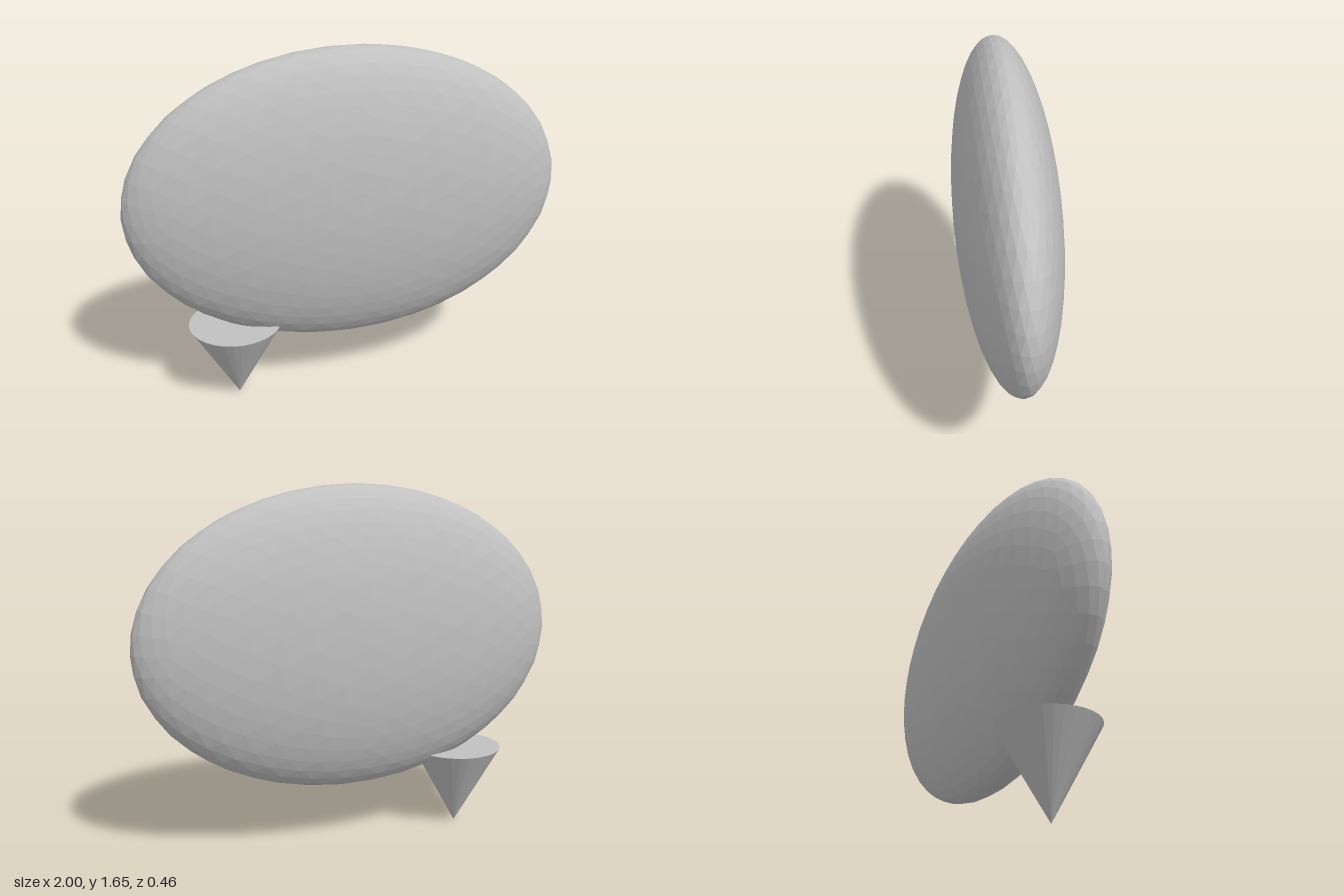
import * as THREE from 'three';

export function createModel() {
  const group = new THREE.Group();
  const grey = new THREE.MeshStandardMaterial({ color: 0xc0c0c0, flatShading: true });
  grey.name = 'light grey';

  // Flattened faceted ellipsoid body
  const body = new THREE.Mesh(new THREE.IcosahedronGeometry(1, 7).scale(1, 0.69, 0.23), grey);
  body.name = 'body';
  body.position.set(0, 0.965, 0);

  // Cone pointing down, with its flat cap sunk into the body
  const height = 0.39;
  const cone = new THREE.Mesh(new THREE.CylinderGeometry(0.215, 0, height, 32), grey);
  cone.name = 'cone';
  cone.position.set(-0.54, height / 2, 0);

  group.add(body, cone);
  return group;
}
